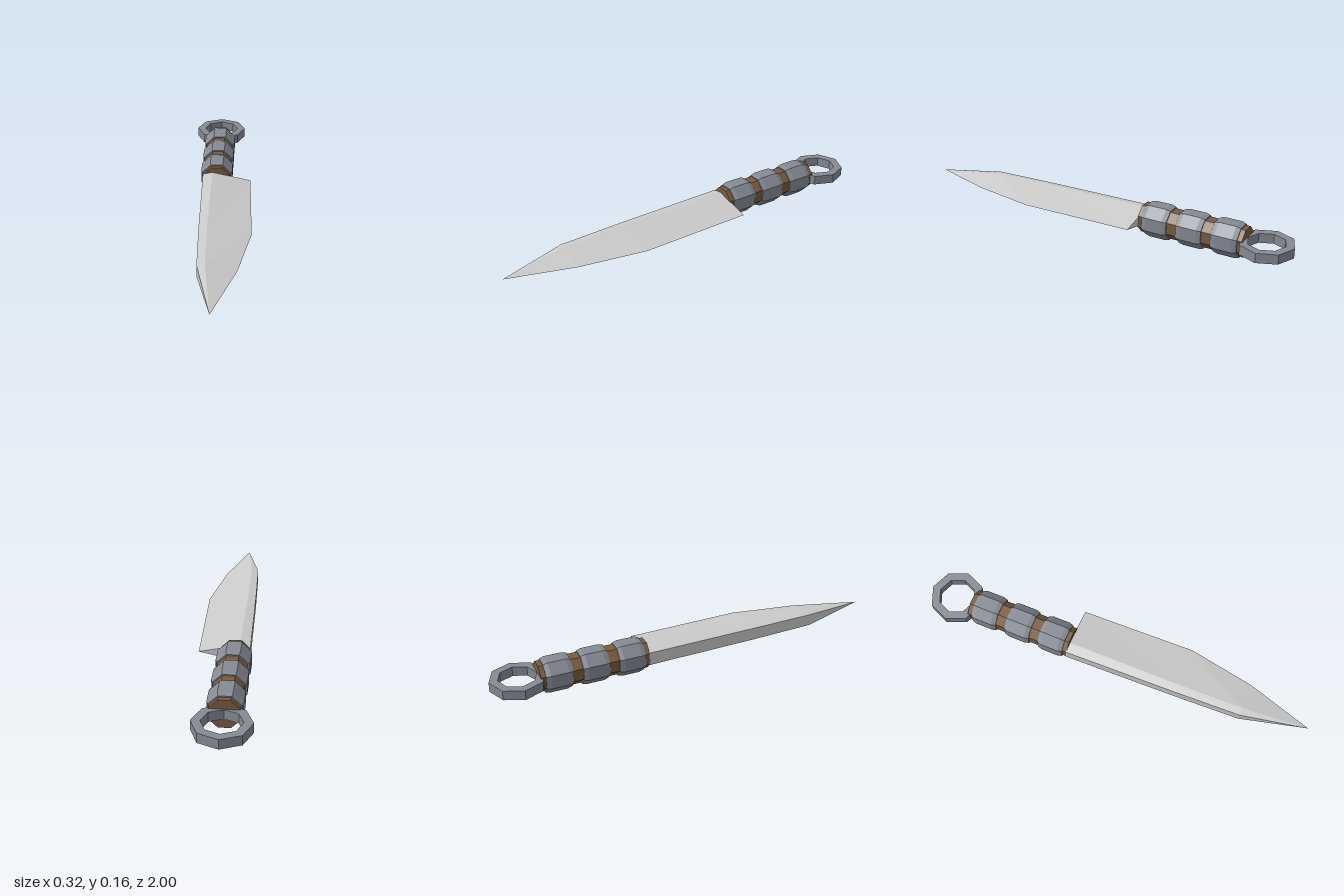
import * as THREE from 'three';

const AXIS_X = -0.03, AXIS_Y = 0.081;
const OCT = 1 / Math.cos(Math.PI / 8); // apothem to corner radius

const material = (color, side = THREE.FrontSide) =>
  new THREE.MeshStandardMaterial({ color, flatShading: true, side });

function addMesh(parent, name, geometry, mat, x, y, z) {
  const mesh = new THREE.Mesh(geometry, mat);
  mesh.name = name;
  mesh.position.set(x, y, z);
  parent.add(mesh);
  return mesh;
}

// Blade lofted from five-sided sections: edge, ridge, spine, mirrored below.
function bladeGeometry() {
  // z, edge x, ridge x, ridge half height, spine x, spine half height
  const stations = [
    [-0.235, 0.147, -0.05, 0.043, -0.1, 0.033],
    [0.34, 0.161, -0.046, 0.04, -0.086, 0.032],
    [0.67, 0.102, -0.037, 0.036, -0.074, 0.03],
  ];
  const tip = [0, 0, 1];
  const rings = stations.map(([z, ex, rx, ry, sx, sy]) =>
    [[ex, 0, z], [rx, ry, z], [sx, sy, z], [sx, -sy, z], [rx, -ry, z]]);
  const pos = [];
  const tri = (a, b, c) => pos.push(...a, ...b, ...c);
  rings.forEach((a, s) => {
    const b = rings[s + 1];
    for (let i = 0; i < 5; i++) {
      const j = (i + 1) % 5;
      if (b) {
        tri(a[i], a[j], b[j]);
        tri(a[i], b[j], b[i]);
      } else tri(a[i], a[j], tip);
    }
  });
  // Heel cap
  for (let k = 1; k < 4; k++) tri(rings[0][0], rings[0][k + 1], rings[0][k]);
  const g = new THREE.BufferGeometry();
  g.setAttribute('position', new THREE.Float32BufferAttribute(pos, 3));
  g.computeVertexNormals();
  return g;
}

export function createModel() {
  const knife = new THREE.Group();
  knife.name = 'knife';
  const steel = material(0xcccccc);
  const leather = material(0x7a5c40);
  const metal = material(0x858a94, THREE.DoubleSide);

  addMesh(knife, 'blade', bladeGeometry(), steel, 0, AXIS_Y, 0);

  // Octagonal grip core
  const core = new THREE.CylinderGeometry(0.069 * OCT, 0.069 * OCT, 0.54, 8);
  core.rotateY(Math.PI / 8).rotateX(Math.PI / 2);
  addMesh(knife, 'gripCore', core, leather, AXIS_X, AXIS_Y, -0.502);

  // Three bulging octagonal bands
  const profile = [[0.066, -0.066], [0.075, -0.066], [0.081, -0.044],
    [0.081, 0.044], [0.075, 0.066], [0.066, 0.066]]
    .map(([r, y]) => new THREE.Vector2(r * OCT, y));
  const band = new THREE.LatheGeometry(profile, 8, Math.PI / 8);
  band.rotateX(Math.PI / 2);
  [-0.321, -0.502, -0.683].forEach((z, i) =>
    addMesh(knife, `gripBand${i + 1}`, band, metal, AXIS_X, AXIS_Y, z));

  // Eight-sided pommel ring lying flat
  const ringProfile = [[0.134, -0.024], [0.134, 0.024], [0.092, 0.024],
    [0.092, -0.024], [0.134, -0.024]].map(([r, y]) => new THREE.Vector2(r, y));
  addMesh(knife, 'pommelRing', new THREE.LatheGeometry(ringProfile, 8), metal,
    AXIS_X, AXIS_Y, -0.866);

  return knife;
}
